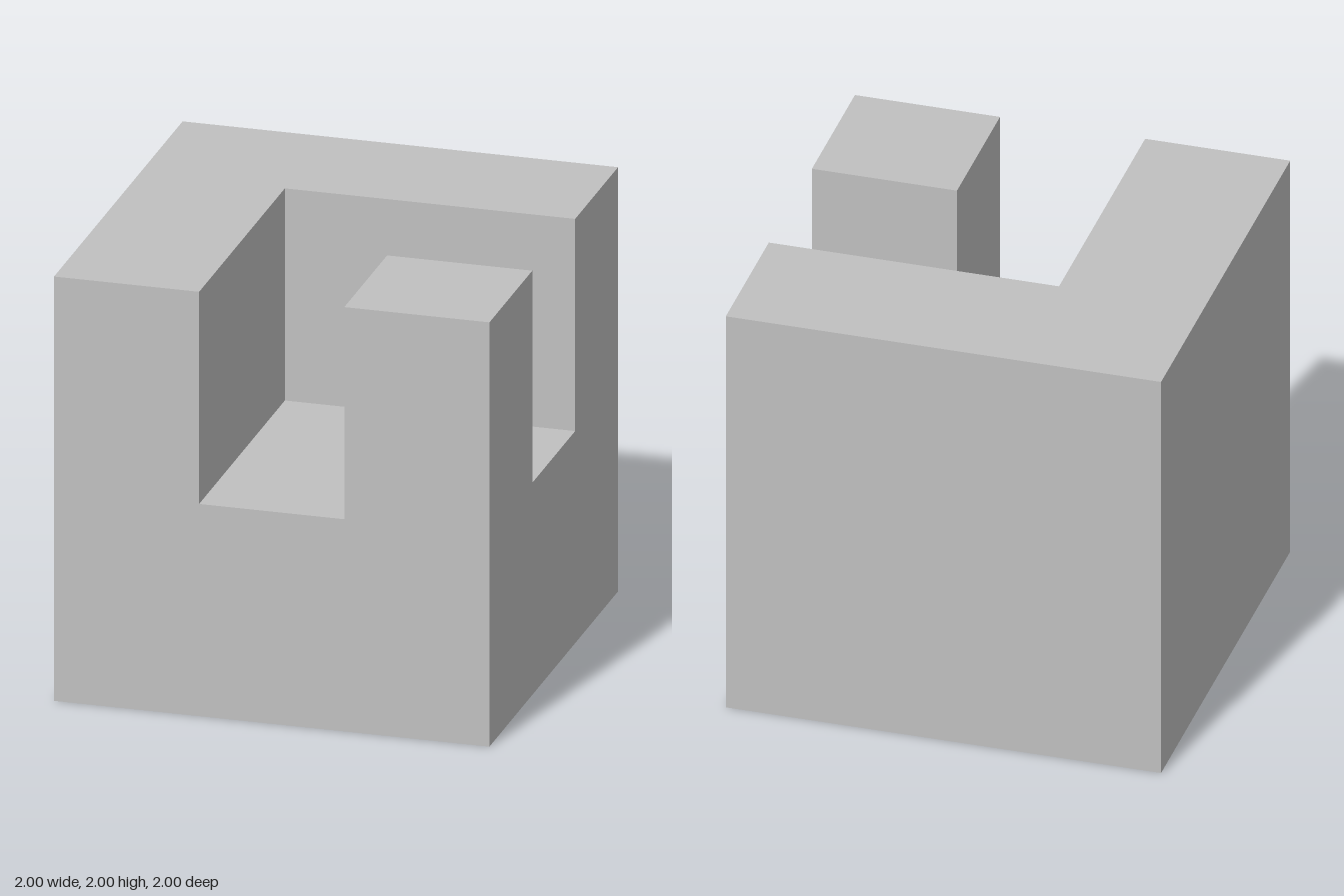
import * as THREE from 'three';
import { mergeGeometries } from 'three/addons/utils/BufferGeometryUtils.js';

const T = 1 / 3;      // half the channel width
const FLOOR = 1;      // height of the channel floor
const TOP = 2;

// Flat outline pushed out along its normal, then turned about x (tilt) and y (turn)
function face(points, distance, { turn = 0, tilt = 0 } = {}) {
  const shape = new THREE.Shape(points.map(([x, y]) => new THREE.Vector2(x, y)));
  return new THREE.ShapeGeometry(shape).translate(0, 0, distance).rotateX(tilt).rotateY(turn);
}

const rect = (x0, y0, x1, y1) => [[x0, y0], [x1, y0], [x1, y1], [x0, y1]];

export function createModel() {
  const group = new THREE.Group();
  group.name = 'notchedCube';
  const grey = new THREE.MeshStandardMaterial({ color: 0xc0c0c0 });
  grey.name = 'light grey';

  const add = (name, faces) => {
    const mesh = new THREE.Mesh(mergeGeometries(faces), grey);
    mesh.name = name;
    group.add(mesh);
  };

  const Q = Math.PI / 2;
  const up = { tilt: -Q };
  const notched = [[-1, 0], [1, 0], [1, TOP], [T, TOP], [T, FLOOR], [-T, FLOOR], [-T, TOP], [-1, TOP]];

  // Outer sides: two notched, two plain, plus the underside
  add('outerSides', [
    face(notched, 1),
    face(notched, 1, { turn: Q }),
    face(rect(-1, 0, 1, TOP), 1, { turn: 2 * Q }),
    face(rect(-1, 0, 1, TOP), 1, { turn: -Q }),
    face(rect(-1, -1, 1, 1), 0, { tilt: Q }),
  ]);

  // L-shaped wall: top and the two inner sides
  add('cornerWall', [
    face([[-1, 1], [-1, -1], [-T, -1], [-T, T], [1, T], [1, 1]], TOP, up),
    face(rect(-T, FLOOR, 1, TOP), -T),
    face(rect(-1, FLOOR, T, TOP), -T, { turn: Q }),
  ]);

  // L-shaped channel floor
  add('channelFloor', [
    face([[-T, T], [-T, -1], [T, -1], [T, -T], [1, -T], [1, T]], FLOOR, up),
  ]);

  // Square corner post: top and the two inner sides
  add('cornerPost', [
    face(rect(T, -1, 1, -T), TOP, up),
    face(rect(-1, FLOOR, -T, TOP), -T, { turn: 2 * Q }),
    face(rect(T, FLOOR, 1, TOP), -T, { turn: -Q }),
  ]);

  return group;
}
